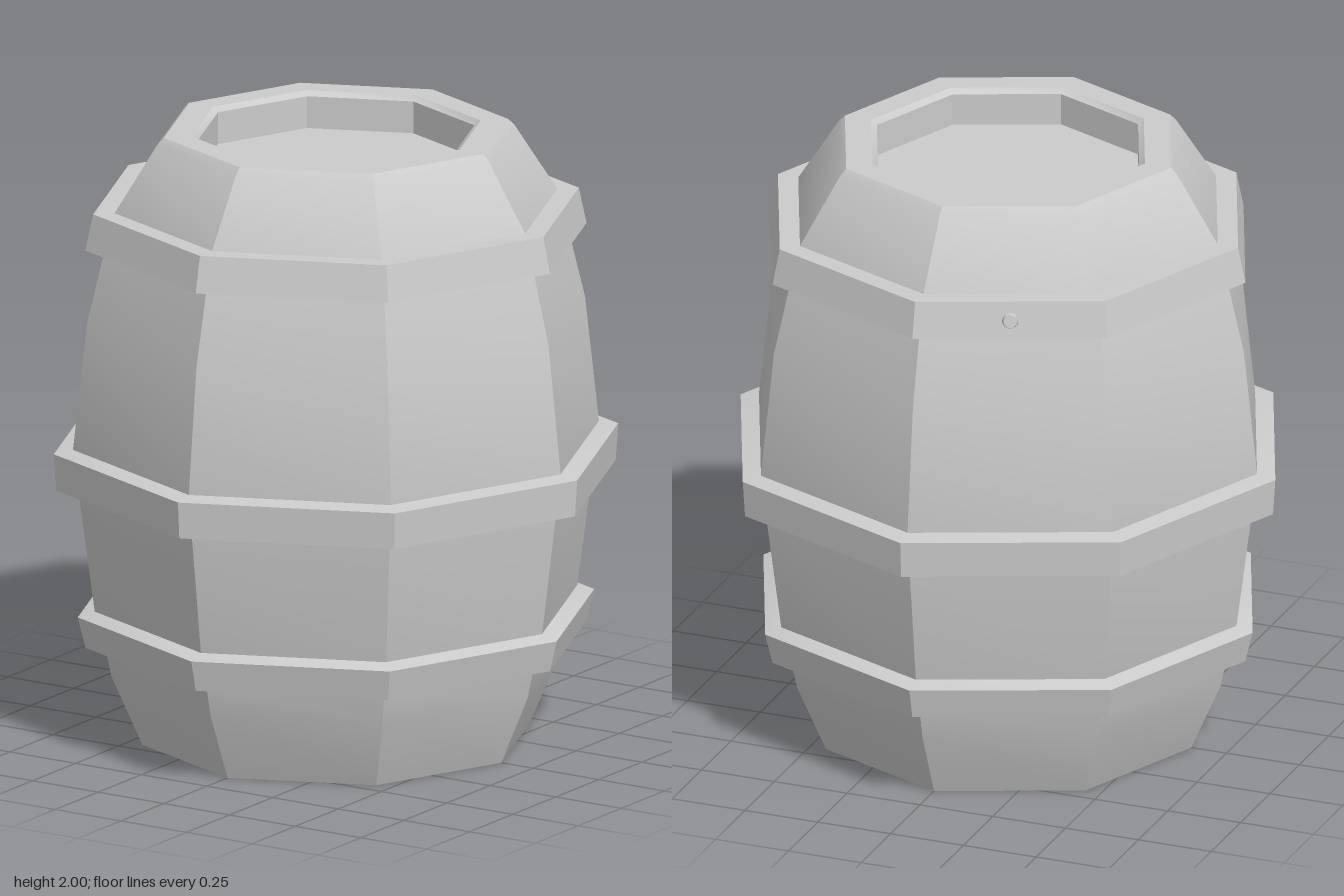
import * as THREE from 'three';
import { toCreasedNormals } from 'three/addons/utils/BufferGeometryUtils.js';

const SIDES = 8;

export function createModel() {
  const group = new THREE.Group();
  const material = new THREE.MeshStandardMaterial({ color: 0xcccccc });

  // Octagonal ring of a [radius, height] profile, with corners on the x and z axes
  function addTurned(name, profile) {
    const points = profile.map(([r, y]) => new THREE.Vector2(r, y));
    const geometry = toCreasedNormals(new THREE.LatheGeometry(points, SIDES), 0.5);
    const mesh = new THREE.Mesh(geometry, material);
    mesh.name = name;
    group.add(mesh);
  }

  // Barrel body: base, bulging staves, shoulder, rim and recessed lid
  addTurned('barrelBody', [
    [0, 0], [0.63, 0], [0.73, 0.23], [0.752, 0.33], [0.785, 0.45],
    [0.838, 0.85], [0.855, 0.99], [0.81, 1.4], [0.757, 1.62], [0.72, 1.76],
    [0.58, 1.98], [0.56, 2], [0.47, 2], [0.45, 1.985], [0.45, 1.88], [0, 1.88],
  ]);

  // Hoops, each closed inside the staves
  addTurned('lowerHoop', [[0.73, 0.33], [0.815, 0.33], [0.84, 0.432], [0.77, 0.452]]);
  addTurned('middleHoop', [[0.82, 0.855], [0.91, 0.855], [0.918, 0.975], [0.84, 0.988]]);
  addTurned('upperHoop', [[0.74, 1.625], [0.815, 1.642], [0.79, 1.76], [0.70, 1.76]]);

  // Small rivet in the middle of one back face of the upper hoop
  const rivet = new THREE.Mesh(
    toCreasedNormals(new THREE.CylinderGeometry(0.022, 0.03, 0.03, 12), 0.6), material);
  rivet.name = 'hoopRivet';
  const angle = Math.PI + Math.PI / SIDES;
  const normal = new THREE.Vector3(Math.sin(angle), 0.19, Math.cos(angle)).normalize();
  rivet.position.set(Math.sin(angle) * 0.743, 1.7, Math.cos(angle) * 0.743);
  rivet.quaternion.setFromUnitVectors(new THREE.Vector3(0, 1, 0), normal);
  group.add(rivet);

  return group;
}
